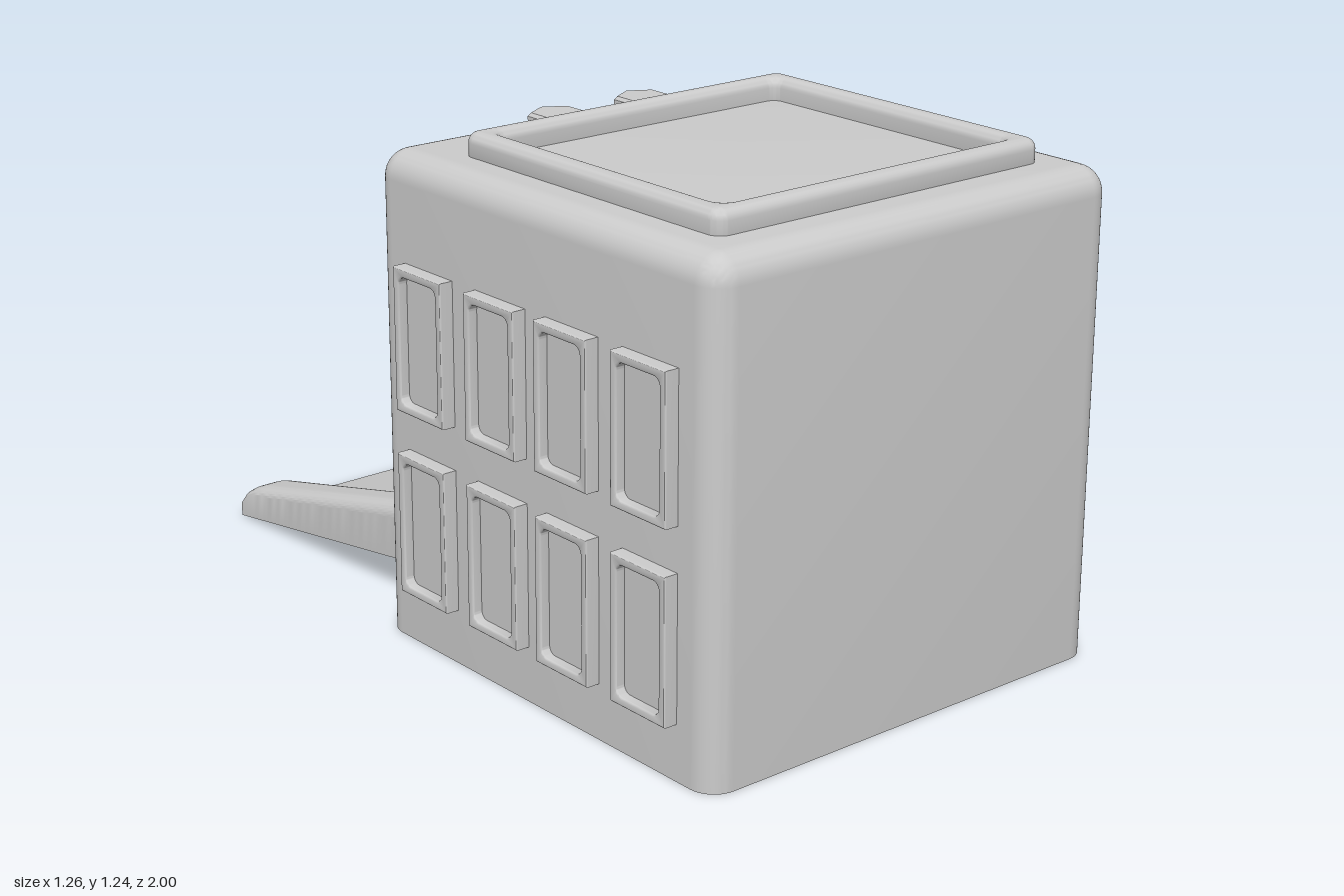
import * as THREE from 'three';
import { RoundedBoxGeometry } from 'three/addons/geometries/RoundedBoxGeometry.js';
import { toCreasedNormals } from 'three/addons/utils/BufferGeometryUtils.js';

const CX = -0.006; // middle of the body
const grey = new THREE.MeshStandardMaterial({ color: 0xcccccc });

function add(parent, name, geometry, x = 0, y = 0, z = 0) {
  const mesh = new THREE.Mesh(geometry, grey);
  mesh.name = name;
  mesh.position.set(x, y, z);
  parent.add(mesh);
  return mesh;
}

// Centred rectangle with rounded corners
function roundRect(path, w, h, r) {
  const x = w / 2, y = h / 2;
  path.moveTo(-x + r, -y);
  path.lineTo(x - r, -y);
  if (r) path.absarc(x - r, -y + r, r, -Math.PI / 2, 0);
  path.lineTo(x, y - r);
  if (r) path.absarc(x - r, y - r, r, 0, Math.PI / 2);
  path.lineTo(-x + r, y);
  if (r) path.absarc(-x + r, y - r, r, Math.PI / 2, Math.PI);
  path.lineTo(-x, -y + r);
  if (r) path.absarc(-x + r, -y + r, r, Math.PI, Math.PI * 1.5);
  return path;
}

// Extrusion with rounded edges that stays inside its outline
function extrude(shape, depth, bevel = 0, steps = 1) {
  const geometry = new THREE.ExtrudeGeometry(shape, {
    depth, steps, curveSegments: 8, bevelEnabled: bevel > 0,
    bevelSize: bevel, bevelThickness: bevel, bevelOffset: -bevel, bevelSegments: 6,
  });
  return toCreasedNormals(geometry, 0.6);
}

function frameShape(w, h, r, holeW, holeH, holeR) {
  const shape = roundRect(new THREE.Shape(), w, h, r);
  shape.holes.push(roundRect(new THREE.Path(), holeW, holeH, holeR));
  return shape;
}

// Side rail of the ramp: round-topped section that follows the slope
function railGeometry() {
  const w = 0.06, h = 0.15, r = 0.04, length = 0.84;
  const shape = new THREE.Shape();
  shape.moveTo(-w, 0);
  shape.lineTo(w, 0);
  shape.lineTo(w, h - r);
  shape.absarc(w - r, h - r, r, 0, Math.PI / 2);
  shape.lineTo(-w + r, h);
  shape.absarc(-w + r, h - r, r, Math.PI / 2, Math.PI);
  const geometry = new THREE.ExtrudeGeometry(shape, { depth: length, steps: 42, bevelEnabled: false });
  const p = geometry.attributes.position;
  for (let i = 0; i < p.count; i++) {
    const d = p.getZ(i); // distance from the ramp's tip
    const bottom = d * 0.146;
    let height = 0.08 + d * 0.092;
    if (d < 0.08) height -= 0.035 * (1 - Math.sqrt(1 - (1 - d / 0.08) ** 2));
    p.setXYZ(i, p.getX(i), bottom + (p.getY(i) / h) * height, d - 1);
  }
  return toCreasedNormals(geometry, 0.6);
}

export function createModel() {
  const model = new THREE.Group();
  model.name = 'building';

  // Body: rounded sides and roof edge, flat sharp base
  const body = new RoundedBoxGeometry(1.178, 1.25, 1.18, 6, 0.065);
  body.translate(CX, 0.555, 0.41);
  const p = body.attributes.position;
  for (let i = 0; i < p.count; i++) p.setY(i, Math.max(0, p.getY(i)));
  add(model, 'body', toCreasedNormals(body, 0.6));

  // Raised rim on the roof
  const rim = extrude(frameShape(0.955, 0.87, 0.035, 0.84, 0.76, 0.025), 0.04, 0.024);
  rim.rotateX(-Math.PI / 2);
  add(model, 'roofRim', rim, CX, 1.171, 0.445);

  // Hexagonal roof bolts
  for (const x of [-0.145, 0.115]) {
    const bolt = new THREE.Group();
    bolt.name = 'roofBolt';
    bolt.position.set(x, 0, 0.075 * -1);
    add(bolt, 'boltHead', new THREE.CylinderGeometry(0.07, 0.07, 0.035, 6).toNonIndexed(), 0, 1.185, 0);
    add(bolt, 'boltCap', new THREE.CylinderGeometry(0.062, 0.07, 0.008, 6).toNonIndexed(), 0, 1.2065, 0);
    bolt.children.forEach((m) => m.geometry.computeVertexNormals());
    model.add(bolt);
  }

  // Two rows of four windows on each side
  const windowFrame = extrude(frameShape(0.18, 0.345, 0, 0.14, 0.305, 0.02), 0.06, 0.004);
  const pane = new THREE.BoxGeometry(0.15, 0.315, 0.03);
  for (const side of [-1, 1]) {
    for (const z of [0.8, 0.54, 0.29, 0.025]) {
      for (const y of [0.307, 0.757]) {
        const win = new THREE.Group();
        win.name = side > 0 ? 'leftWindow' : 'rightWindow';
        win.position.set(side * 0.63, y, z);
        win.rotation.y = (side * Math.PI) / 2;
        add(win, 'windowFrame', windowFrame, 0, 0, -0.064);
        add(win, 'windowPane', pane, 0, 0, -0.039);
        model.add(win);
      }
    }
  }

  // Doorway surround on the back: an upside-down U with soft edges
  const top = 1.065, base = 0.13, w = 0.478, bar = 0.12, r = 0.07, ri = 0.04;
  const inX = w - bar, inTop = top - bar;
  const arch = new THREE.Shape();
  arch.moveTo(w, base);
  arch.lineTo(w, top - r);
  arch.absarc(w - r, top - r, r, 0, Math.PI / 2);
  arch.lineTo(-w + r, top);
  arch.absarc(-w + r, top - r, r, Math.PI / 2, Math.PI);
  arch.lineTo(-w, base);
  arch.lineTo(-inX, base);
  arch.lineTo(-inX, inTop - ri);
  arch.absarc(-inX + ri, inTop - ri, ri, Math.PI, Math.PI / 2, true);
  arch.lineTo(inX - ri, inTop);
  arch.absarc(inX - ri, inTop - ri, ri, Math.PI / 2, 0, true);
  arch.lineTo(inX, base);
  add(model, 'doorSurround', extrude(arch, 0.06, 0.045).rotateY(Math.PI), CX, 0, -0.183);

  // Three door panels with narrow gaps
  for (const i of [-1, 0, 1]) {
    add(model, 'doorPanel', new THREE.BoxGeometry(0.231, 0.82, 0.03), CX + i * 0.239, 0.56, -0.18);
  }

  // Ramp: wedge-shaped floor between two rails
  const wedge = new THREE.Shape([[0.16, 0.123], [1, 0], [1, 0.012], [0.16, 0.225]]
    .map(([x, y]) => new THREE.Vector2(x, y)));
  const floor = extrude(wedge, 0.73);
  floor.rotateY(Math.PI / 2);
  add(model, 'rampFloor', floor, CX - 0.365);
  for (const side of [-1, 1]) {
    add(model, side > 0 ? 'leftRampRail' : 'rightRampRail', railGeometry(), CX + side * 0.418);
  }

  return model;
}
